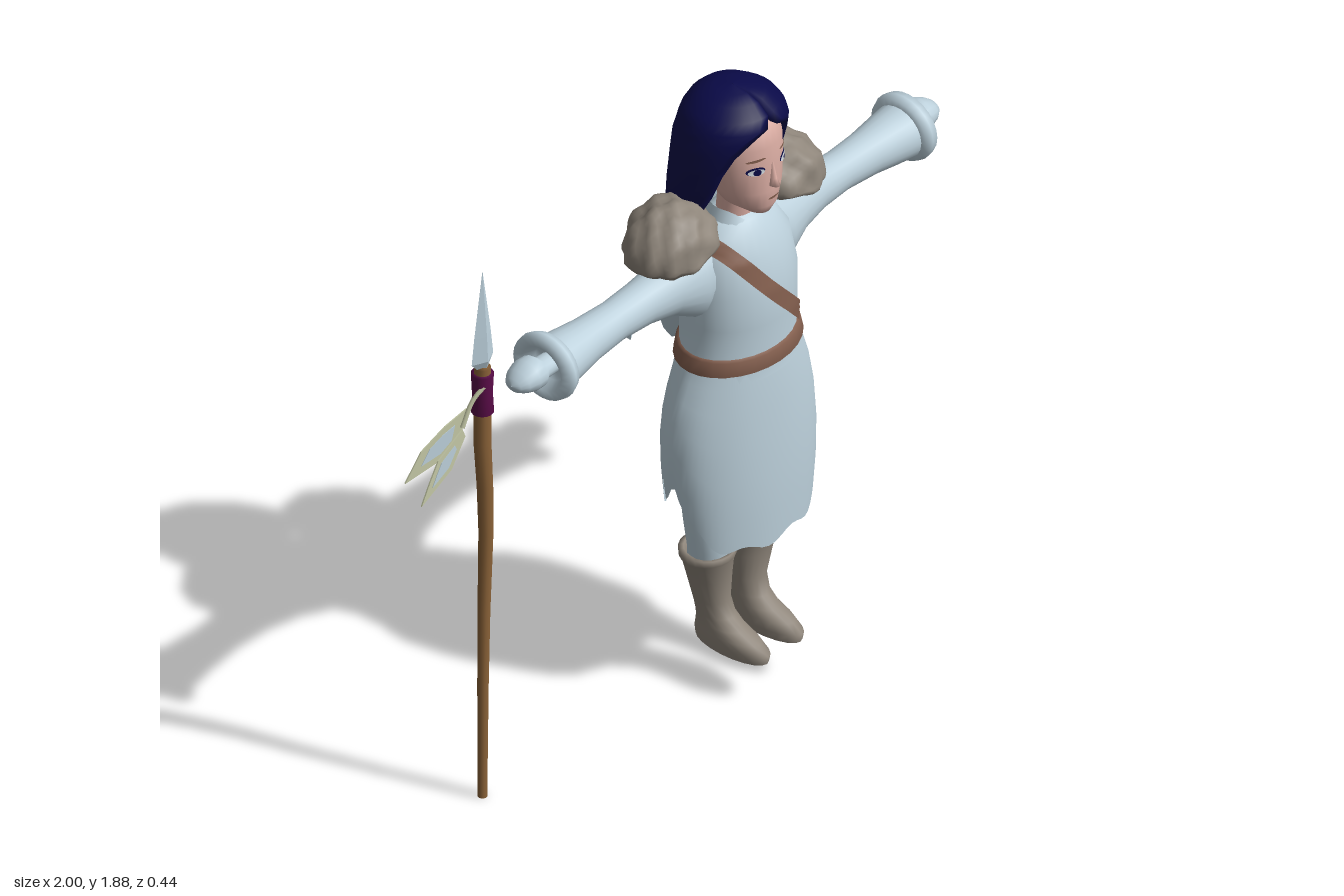
import * as THREE from 'three';
import { mergeVertices } from 'three/addons/utils/BufferGeometryUtils.js';

const mat = (name, color, side = THREE.FrontSide) => {
  const m = new THREE.MeshStandardMaterial({ color, side });
  m.name = name;
  return m;
};

// Skin a stack of ellipses. Row: [y, cx, cz, rx, rz, open]; angle 0 faces +z.
// "open" leaves a gap at the front, with the edges folded inward.
function loft(rows, seg = 20, warp) {
  const pos = [], index = [], open = rows[0].length > 5;
  for (const [y, cx, cz, rx, rz, gap = 0] of rows) {
    for (let i = 0; i <= seg; i++) {
      const t = open ? (Math.min(Math.max(i, 1), seg - 1) - 1) / (seg - 2) : i / seg;
      const a = gap + t * (Math.PI * 2 - gap * 2);
      const k = open && (i === 0 || i === seg) ? 0.74 : 1;
      const v = new THREE.Vector3(cx + rx * k * Math.sin(a), y, cz + rz * k * Math.cos(a));
      if (warp) warp(v, a);
      pos.push(v.x, v.y, v.z);
    }
  }
  const id = (j, i) => j * (seg + 1) + (open ? i : i % seg);
  for (let j = 0; j < rows.length - 1; j++) {
    for (let i = 0; i < seg; i++) {
      index.push(id(j, i), id(j, i + 1), id(j + 1, i + 1), id(j, i), id(j + 1, i + 1), id(j + 1, i));
    }
  }
  const g = new THREE.BufferGeometry();
  g.setAttribute('position', new THREE.Float32BufferAttribute(pos, 3));
  g.setIndex(index);
  g.computeVertexNormals();
  return g;
}

// Front z of a lofted form at (x, y)
function frontZ(rows, x, y) {
  let j = 0;
  while (j < rows.length - 2 && rows[j + 1][0] < y) j++;
  const a = rows[j], b = rows[j + 1], t = (y - a[0]) / (b[0] - a[0]);
  const m = k => a[k] + (b[k] - a[k]) * t;
  return m(2) + m(4) * Math.sqrt(Math.max(0, 1 - (x / m(3)) ** 2));
}

export function createModel() {
  const cloth = mat('pale cloth', 0xbdd1dc, THREE.DoubleSide);
  const hairMat = mat('dark blue hair', 0x0a0a48, THREE.DoubleSide);
  const fur = mat('grey fur', 0x8f867b);
  const skin = mat('skin', 0xdcaea4);
  const leather = mat('brown leather', 0x85604f, THREE.DoubleSide);
  const wood = mat('wood', 0x8a6238);
  const wrapMat = mat('purple binding', 0x5a0c48);
  const featherMat = mat('feather', 0xc6caa8, THREE.DoubleSide);
  const lining = mat('red lining', 0x5c2018, THREE.DoubleSide);
  const eyeWhite = mat('eye white', 0xd5dce2);

  const model = new THREE.Group();
  const body = new THREE.Group();
  body.name = 'figure';
  body.position.x = 0.155;
  model.add(body);
  const add = (parent, name, geo, m) => {
    const mesh = new THREE.Mesh(geo, m);
    mesh.name = name;
    parent.add(mesh);
    return mesh;
  };

  // Tunic top
  const torso = [[1.03, 0, 0.055, 0.197, 0.142], [1.1, 0, 0.055, 0.18, 0.134], [1.2, 0, 0.055, 0.175, 0.142],
    [1.3, 0, 0.055, 0.178, 0.136], [1.4, 0, 0.05, 0.165, 0.118], [1.46, 0, 0.04, 0.13, 0.09],
    [1.485, 0, 0.04, 0.085, 0.07], [1.5, 0, 0.035, 0.04, 0.045]];
  add(body, 'tunic', loft(torso, 28), cloth);
  add(body, 'collar', loft([[1.46, 0, 0.045, 0.09, 0.085], [1.52, 0, 0.04, 0.066, 0.066]], 24, (v, a) => {
    if (v.y > 1.5) v.y -= 0.045 * Math.max(0, Math.cos(a)) ** 4;
  }), cloth);

  // Skirt with a long front, raised sides and a ragged back
  const hem = a => {
    const c = Math.cos(a);
    return c > 0 ? 0.5 + 0.2 * (1 - c) ** 2 + 0.012 * Math.sin(a * 9)
      : 0.7 - 0.16 * c * c + 0.045 * Math.sin(a * 11) * Math.min(1, -3 * c);
  };
  add(body, 'skirt', loft([[0.5, 0, 0.055, 0.245, 0.152], [0.6, 0, 0.055, 0.254, 0.156], [0.72, 0, 0.055, 0.256, 0.157],
    [0.84, 0, 0.055, 0.247, 0.153], [0.94, 0, 0.055, 0.228, 0.148], [1.02, 0, 0.055, 0.203, 0.142],
    [1.07, 0, 0.055, 0.187, 0.136]], 66, (v, a) => {
    if (v.y < 1.06) v.y = 1.06 - (1.06 - v.y) * (1.06 - hem(a)) / 0.56;
  }), cloth);

  // Belt and cross strap
  add(body, 'belt', loft([[1.06, 0, 0.055, 0.19, 0.139], [1.065, 0, 0.055, 0.199, 0.149],
    [1.105, 0, 0.055, 0.189, 0.144], [1.11, 0, 0.055, 0.18, 0.134]], 28), leather);
  const strapPath = new THREE.CatmullRomCurve3([[-0.135, 1.455], [-0.09, 1.39], [-0.03, 1.31], [0.06, 1.21], [0.165, 1.1]]
    .map(p => new THREE.Vector3(p[0], p[1], 0)));
  const strap = new THREE.PlaneGeometry(1, 1, 24, 3);
  const sp = strap.attributes.position;
  for (let i = 0; i < sp.count; i++) {
    const u = sp.getX(i) + 0.5, w = sp.getY(i) * 0.045;
    const p = strapPath.getPoint(u), t = strapPath.getTangent(u);
    const x = p.x - t.y * w, y = p.y + t.x * w;
    sp.setXYZ(i, x, y, frontZ(torso, x, y) + 0.008);
  }
  strap.computeVertexNormals();
  add(body, 'crossStrap', strap, leather);

  // Head, neck and nose
  const head = [[1.525, 0, 0.12, 0.002, 0.002], [1.53, 0, 0.12, 0.032, 0.04], [1.56, 0, 0.09, 0.07, 0.085],
    [1.61, 0, 0.075, 0.096, 0.104], [1.68, 0, 0.065, 0.11, 0.112], [1.75, 0, 0.055, 0.112, 0.12],
    [1.81, 0, 0.045, 0.1, 0.115], [1.85, 0, 0.03, 0.06, 0.07]];
  add(body, 'head', loft(head, 28), skin);
  add(body, 'neck', loft([[1.44, 0, 0.04, 0.055, 0.05], [1.57, 0, 0.05, 0.05, 0.05]], 16), skin);
  add(body, 'nose', loft([[1.622, 0, 0.17, 0.002, 0.002], [1.628, 0, 0.175, 0.015, 0.025],
    [1.65, 0, 0.17, 0.011, 0.02], [1.7, 0, 0.165, 0.006, 0.012]], 10), skin);

  // Painted face details laid onto the head
  const patch = (name, m, x, y, w, h, off, tilt = 0) => {
    const g = new THREE.CircleGeometry(1, 16).scale(w, h, 1).rotateZ(tilt).translate(x, y, 0);
    const p = g.attributes.position;
    for (let i = 0; i < p.count; i++) p.setZ(i, frontZ(head, p.getX(i), p.getY(i)) + off);
    g.computeVertexNormals();
    add(body, name, g, m);
  };
  for (const s of [-1, 1]) {
    patch('eyeOutline', hairMat, s * 0.053, 1.688, 0.024, 0.013, 0.003);
    patch('eye', eyeWhite, s * 0.053, 1.686, 0.021, 0.01, 0.005);
    patch('iris', hairMat, s * 0.053, 1.687, s < 0 ? 0.01 : 0.006, s < 0 ? 0.01 : 0.006, 0.007);
    patch('eyebrow', leather, s * 0.052, 1.722, 0.025, 0.004, 0.004, -s * 0.12);
  }
  patch('mouth', leather, 0, 1.588, 0.02, 0.004, 0.004);

  // Hair: parted in front, long behind
  add(body, 'hair', loft([[1.39, 0, -0.06, 0.09, 0.08, 2.0], [1.46, 0, -0.04, 0.13, 0.1, 1.6],
    [1.53, 0, -0.02, 0.155, 0.117, 1.05], [1.6, 0, -0.003, 0.165, 0.127, 0.9], [1.68, 0, 0.015, 0.167, 0.137, 0.83],
    [1.74, 0, 0.025, 0.163, 0.143, 0.7], [1.785, 0, 0.036, 0.153, 0.144, 0.5], [1.812, 0, 0.038, 0.143, 0.138, 0.12],
    [1.84, 0, 0.038, 0.124, 0.122, 0], [1.868, 0, 0.036, 0.085, 0.09, 0], [1.88, 0, 0.034, 0.045, 0.05, 0],
    [1.885, 0, 0.034, 0.001, 0.001, 0]], 34), hairMat);

  // Hood hanging open down the back, ending in a point
  add(body, 'hood', loft([[0.965, 0, -0.175, 0.004, 0.004], [1.0, 0, -0.165, 0.03, 0.035], [1.08, 0, -0.14, 0.07, 0.07],
    [1.17, 0, -0.115, 0.115, 0.1], [1.25, 0, -0.095, 0.15, 0.117], [1.33, 0, -0.065, 0.174, 0.12],
    [1.41, 0, -0.035, 0.17, 0.108], [1.41, 0, -0.035, 0.155, 0.095], [1.3, 0, -0.07, 0.145, 0.1],
    [1.2, 0, -0.1, 0.09, 0.085]], 28, (v, a) => {
    const back = Math.max(0, -Math.cos(a)) ** 3;
    if (v.y > 1.2) v.y -= (v.y - 1.2) * 0.7 * back;
  }), cloth);
  add(body, 'hoodLining', new THREE.BoxGeometry(0.012, 0.11, 0.008).rotateX(-0.12).translate(0, 1.07, -0.208), lining);
  add(body, 'hoodInside', new THREE.CircleGeometry(1, 16).scale(0.04, 0.03, 1).rotateX(-Math.PI / 2)
    .translate(0, 1.2, -0.165), lining);

  // Paired parts, modelled on the left and mirrored
  const lumpy = new THREE.IcosahedronGeometry(1, 7);
  lumpy.deleteAttribute('normal');
  lumpy.deleteAttribute('uv');
  const pad = mergeVertices(lumpy, 1e-4), pp = pad.attributes.position;
  for (let i = 0; i < pp.count; i++) {
    const x = pp.getX(i), y = pp.getY(i), z = pp.getZ(i);
    const k = 1 + 0.055 * Math.sin(5 * x + 7 * z + 1) * Math.cos(6 * y - 4 * z) + 0.035 * Math.sin(11 * z - 9 * x);
    pp.setXYZ(i, 0.215 + x * k * 0.13, 1.465 + y * k * (y > 0 ? 0.125 : 0.045) - x * 0.02, 0.003 + z * k * 0.122);
  }
  pad.computeVertexNormals();

  const arm = loft([[0.08, -1.34, 0.03, 0.13, 0.09], [0.17, -1.335, 0.025, 0.115, 0.085], [0.25, -1.345, 0.015, 0.08, 0.072],
    [0.34, -1.345, 0.01, 0.064, 0.06], [0.45, -1.345, 0.01, 0.057, 0.055], [0.56, -1.343, 0.01, 0.063, 0.062],
    [0.64, -1.341, 0.01, 0.072, 0.074], [0.7, -1.341, 0.01, 0.078, 0.082]], 22).rotateZ(-Math.PI / 2);
  const cuff = loft([[0.69, -1.345, 0.01, 0.07, 0.072], [0.692, -1.345, 0.01, 0.09, 0.096], [0.712, -1.345, 0.01, 0.098, 0.104],
    [0.733, -1.345, 0.01, 0.094, 0.1], [0.736, -1.345, 0.01, 0.066, 0.07], [0.7, -1.345, 0.01, 0.05, 0.052],
    [0.695, -1.345, 0.01, 0.001, 0.001]], 24).rotateZ(-Math.PI / 2);
  const hand = loft([[0.69, -1.345, 0.008, 0.03, 0.032], [0.735, -1.345, 0.006, 0.03, 0.034], [0.755, -1.347, 0.003, 0.045, 0.05],
    [0.785, -1.347, 0.002, 0.045, 0.052], [0.815, -1.343, 0, 0.033, 0.043], [0.835, -1.341, 0, 0.02, 0.028],
    [0.843, -1.341, 0, 0.001, 0.001]], 16).rotateZ(-Math.PI / 2);
  const leg = loft([[0.36, 0.088, 0.03, 0.06, 0.055], [0.45, 0.094, 0.04, 0.068, 0.058], [0.55, 0.102, 0.042, 0.077, 0.065],
    [0.7, 0.105, 0.04, 0.09, 0.075], [0.9, 0.1, 0.045, 0.09, 0.085]], 18);
  const boot = loft([[0.12, 0.067, 0.093, 0.001, 0.001], [0.12, 0.067, 0.093, 0.047, 0.122], [0.12, 0.067, 0.093, 0.047, 0.122],
    [0.145, 0.067, 0.094, 0.05, 0.126], [0.168, 0.067, 0.08, 0.048, 0.108], [0.188, 0.067, 0.055, 0.045, 0.08],
    [0.215, 0.068, 0.036, 0.045, 0.06], [0.26, 0.072, 0.025, 0.049, 0.052], [0.34, 0.081, 0.025, 0.063, 0.06],
    [0.4, 0.089, 0.027, 0.073, 0.068], [0.41, 0.09, 0.027, 0.08, 0.075], [0.43, 0.091, 0.027, 0.081, 0.076],
    [0.432, 0.091, 0.027, 0.066, 0.062], [0.4, 0.09, 0.027, 0.055, 0.055]], 20);
  const spike = new THREE.ExtrudeGeometry(new THREE.Shape([[0.15, 1.34], [0.17, 1.2], [0.25, 1.25], [0.295, 1.165], [0.265, 1.34]]
    .map(p => new THREE.Vector2(...p))), { depth: 0.012, bevelEnabled: false }).translate(0, 0, -0.075);
  for (const [side, s] of [['left', 1], ['right', -1]]) {
    const half = new THREE.Group();
    half.name = side + 'Side';
    half.scale.x = s;
    body.add(half);
    add(half, 'shoulderFur', pad, fur);
    add(half, 'sleeve', arm, cloth);
    add(half, 'cuff', cuff, cloth);
    add(half, 'hand', hand, cloth);
    add(half, 'leg', leg, cloth);
    add(half, 'boot', boot, fur);
    add(half, 'capePoint', spike, cloth);
    add(half, 'hairBraid', new THREE.CapsuleGeometry(0.012, 0.08, 4, 8).translate(0.105, 1.43, -0.115), wrapMat);
  }

  // Spear
  const spear = new THREE.Group();
  spear.name = 'spear';
  spear.position.set(-0.726, 0, -0.068);
  model.add(spear);
  add(spear, 'shaft', loft([[0, 0, 0, 0.001, 0.001], [0, 0, 0, 0.013, 0.013], [0, 0, 0, 0.013, 0.013],
    [0.35, 0.002, 0, 0.016, 0.015], [0.6, 0.006, 0, 0.018, 0.017], [0.85, 0.014, 0, 0.021, 0.02],
    [1.0, 0.01, 0, 0.023, 0.022], [1.15, 0, 0, 0.025, 0.024], [1.395, 0, 0, 0.023, 0.023],
    [1.4, 0, 0, 0.001, 0.001]], 12), wood);
  add(spear, 'binding', loft([[1.25, 0, 0, 0.02, 0.02], [1.252, 0, 0, 0.031, 0.031], [1.31, 0, 0, 0.028, 0.028],
    [1.375, 0, 0, 0.031, 0.031], [1.378, 0, 0, 0.02, 0.02]], 14), wrapMat);
  const blade = loft([[1.385, 0, 0, 0.012, 0.012], [1.42, 0, 0, 0.043, 0.02], [1.5, 0, 0, 0.033, 0.016],
    [1.7, 0, 0, 0.001, 0.001]], 4).toNonIndexed();
  blade.computeVertexNormals();
  add(spear, 'blade', blade, cloth);

  // Feathers tied to the binding
  const leaves = [
    [[-0.783, 1.286], [-0.858, 1.265], [-0.944, 1.222], [-1, 1.147], [-0.874, 1.163], [-0.805, 1.206]],
    [[-0.805, 1.233], [-0.9, 1.18], [-0.933, 1.126], [-0.965, 1.067], [-0.848, 1.126], [-0.794, 1.206]]];
  leaves.forEach((pts, n) => {
    const cx = pts.reduce((t, p) => t + p[0], 0) / 6, cy = pts.reduce((t, p) => t + p[1], 0) / 6;
    const flat = (k, depth) => new THREE.ExtrudeGeometry(new THREE.Shape(pts.map(p =>
      new THREE.Vector2(cx + (p[0] - cx) * k + 0.726, cy + (p[1] - cy) * k))), { depth, bevelEnabled: false })
      .translate(0, 0, -depth / 2).applyMatrix4(new THREE.Matrix4().makeRotationY(n ? -0.02 : -0.12));
    add(spear, 'feather', flat(1, 0.004), featherMat);
    add(spear, 'featherCentre', flat(0.55, 0.007), cloth);
  });
  add(spear, 'featherCord', new THREE.TubeGeometry(new THREE.CatmullRomCurve3([[-0.01, 1.35, 0.02], [-0.045, 1.31, 0.005],
    [-0.08, 1.24, 0]].map(p => new THREE.Vector3(...p))), 8, 0.007, 6), featherMat);

  return model;
}
